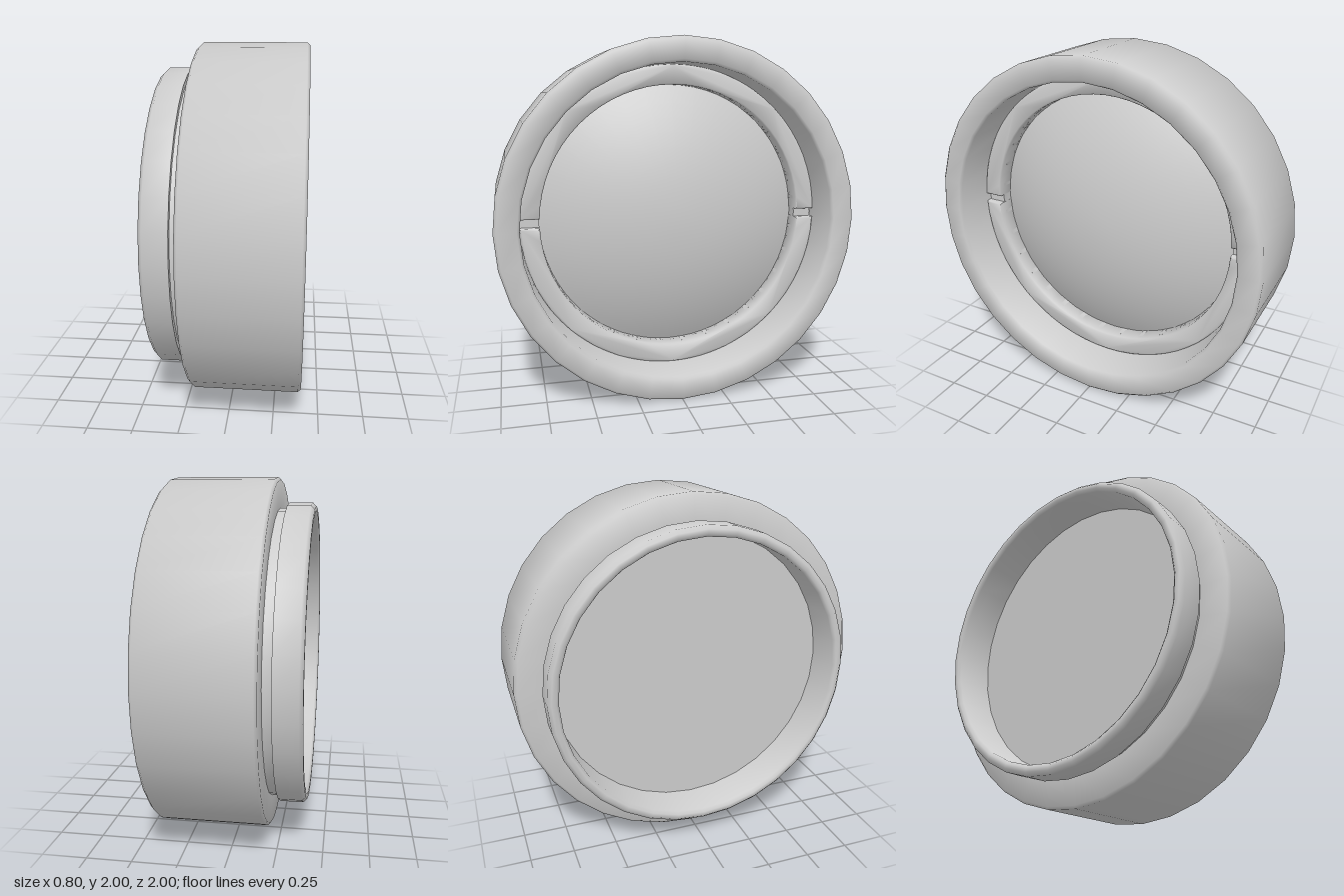
import * as THREE from 'three';
import { toCreasedNormals } from 'three/addons/utils/BufferGeometryUtils.js';

const SIDES = 32;
const material = new THREE.MeshStandardMaterial({ color: 0xcccccc });

// The crease angle lets the narrow chamfers shade as rounded edges
function addPart(parent, name, geometry) {
  const mesh = new THREE.Mesh(toCreasedNormals(geometry, 0.9), material);
  mesh.name = name;
  parent.add(mesh);
}

// Turned part around the x axis; profile points are [x, radius]
function turned(profile) {
  const points = profile.map(([x, r]) => new THREE.Vector2(r, x));
  return new THREE.LatheGeometry(points, SIDES).rotateZ(-Math.PI / 2);
}

export function createModel() {
  const model = new THREE.Group();
  model.name = 'lensHousing';
  const assembly = new THREE.Group();
  assembly.name = 'lensAssembly';
  assembly.position.y = 1;
  model.add(assembly);

  // Housing: rear flange, neck, wide body and stepped bore
  addPart(assembly, 'housing', turned([
    [-0.385, 0.8], [-0.4, 0.815], [-0.4, 0.84], [-0.38, 0.86], [-0.25, 0.86],
    [-0.25, 0.83], [-0.2, 0.83],
    [-0.2, 0.985], [-0.185, 1], [0.385, 1], [0.4, 0.985],
    [0.4, 0.88], [0.385, 0.866], [0.05, 0.866],
    [0.05, 0.8], [-0.385, 0.8],
  ]));

  // Lens: flat back and domed front
  const lensRadius = 0.8, edgeX = 0.035, sag = 0.22;
  const sphere = (lensRadius ** 2 + sag ** 2) / (2 * sag);
  const maxAngle = Math.asin(lensRadius / sphere);
  const lens = [[-0.17, 0], [-0.17, lensRadius]];
  for (let i = 0; i <= 10; i++) {
    const a = maxAngle * (1 - i / 10);
    lens.push([edgeX + sag - sphere * (1 - Math.cos(a)), sphere * Math.sin(a)]);
  }
  addPart(assembly, 'lens', turned(lens));

  // Retaining ring: floor of the slots, set just inside the ring halves
  const inner = 0.753, outer = 0.863, back = 0.05, front = 0.165;
  addPart(assembly, 'retainingRingFloor', turned([
    [back, inner + 0.003], [back, outer - 0.003], [0.125, outer - 0.003],
    [0.125, inner + 0.003], [back, inner + 0.003],
  ]));

  // Upper and lower ring halves, leaving two spanner slots
  const halfSlot = 0.025, bevel = 0.008;
  const a = Math.asin(halfSlot / outer), b = Math.asin(halfSlot / inner);
  const arc = new THREE.Shape();
  arc.absarc(0, 0, outer, a, Math.PI - a, false);
  arc.absarc(0, 0, inner, Math.PI - b, b, true);
  for (const [name, turn] of [['upperRingHalf', 0], ['lowerRingHalf', Math.PI]]) {
    const half = new THREE.ExtrudeGeometry(arc, {
      depth: front - back - 2 * bevel, curveSegments: SIDES / 2, bevelEnabled: true,
      bevelThickness: bevel, bevelSize: bevel, bevelOffset: -bevel, bevelSegments: 1,
    });
    half.rotateZ(turn).rotateY(Math.PI / 2).translate(back + bevel, 0, 0);
    addPart(assembly, name, half);
  }
  return model;
}
